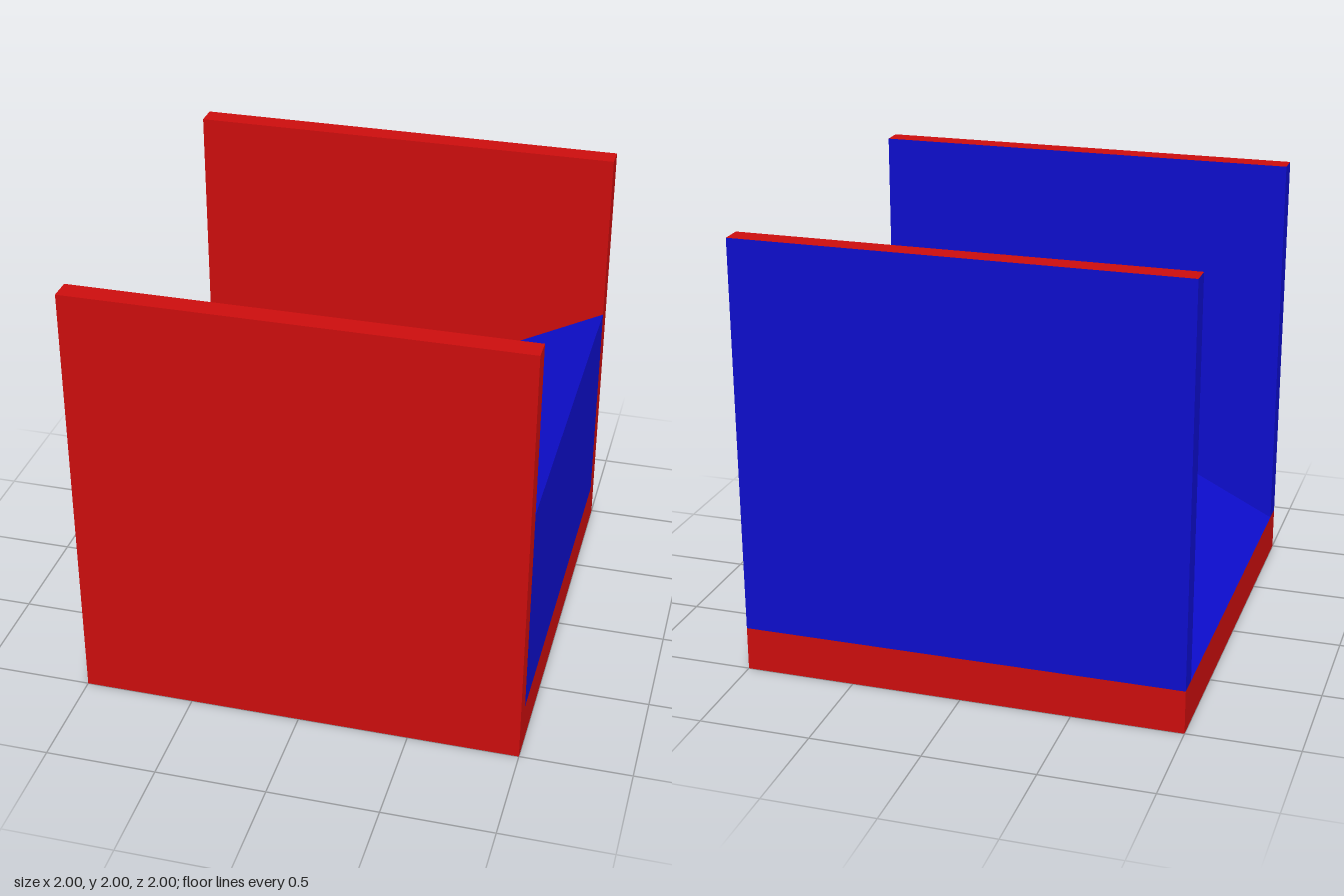
import * as THREE from 'three';

export function createModel() {
  const red = new THREE.MeshStandardMaterial({ color: 0xcc0d0d });
  red.name = 'red';
  const blue = new THREE.MeshStandardMaterial({ color: 0x0d0dcc });
  blue.name = 'blue';

  const group = new THREE.Group();
  group.name = 'rampChannel';
  const baseHeight = 0.2, wallThickness = 0.1, rampHeight = 1;

  // Base slab
  const base = new THREE.Mesh(new THREE.BoxGeometry(2, baseHeight, 2), red);
  base.name = 'base';
  base.position.y = baseHeight / 2;
  group.add(base);

  // Side walls: blue on the faces towards -x and -z, red elsewhere
  const wallHeight = 2 - baseHeight;
  const wallMaterials = [red, blue, red, red, red, blue];
  for (const [name, side] of [['frontWall', 1], ['backWall', -1]]) {
    const wall = new THREE.Mesh(new THREE.BoxGeometry(2, wallHeight, wallThickness), wallMaterials);
    wall.name = name;
    wall.position.set(0, baseHeight + wallHeight / 2, side * (1 - wallThickness / 2));
    group.add(wall);
  }

  // Wedge between the walls, rising towards +x
  const profile = new THREE.Shape();
  profile.moveTo(-1, 0);
  profile.lineTo(1, 0);
  profile.lineTo(1, rampHeight);
  profile.closePath();
  const rampDepth = 2 - 2 * wallThickness;
  const ramp = new THREE.Mesh(
    new THREE.ExtrudeGeometry(profile, { depth: rampDepth, bevelEnabled: false }), blue);
  ramp.name = 'ramp';
  ramp.position.set(0, baseHeight, -rampDepth / 2);
  group.add(ramp);

  return group;
}
